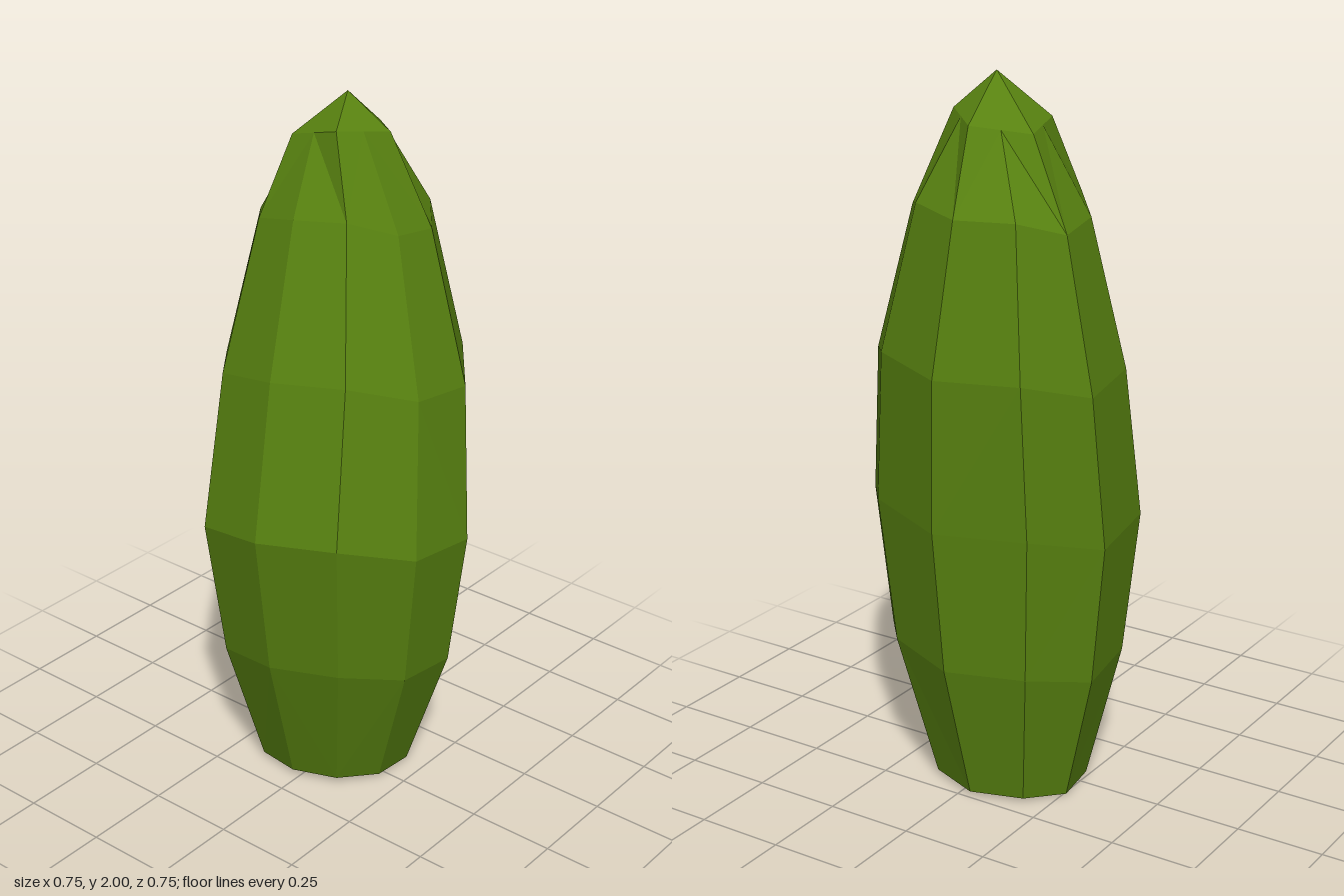
import * as THREE from 'three';

// Ten-sided irregular outline as [x, z], from the back round by the left side
const OUTLINE = [[0, -1], [0.65, -0.74], [1, -0.29], [0.97, 0.29], [0.64, 0.78],
  [0.08, 1], [-0.49, 0.9], [-0.92, 0.36], [-1, -0.3], [-0.65, -0.78]];
// How far each corner sits above or below its ring
const LIFT = [0, 0.02, -0.02, 0, 0.06, 0.05, 0.01, -0.03, -0.05, 0];

// Rings from the ground up: y, xMin, xMax, zMin, zMax, amount of lift
const RINGS = [
  [0.012, -0.26, 0.19, -0.24, 0.18, 0.15],
  [0.41, -0.345, 0.32, -0.33, 0.31, 0.7],
  [0.82, -0.38, 0.375, -0.365, 0.375, 1],
  [1.25, -0.36, 0.325, -0.378, 0.285, 1],
  [1.66, -0.28, 0.2, -0.31, 0.15, 0.8],
];
// Five corners just below the tip
const CROWN = [[-0.015, 1.88, -0.2], [0.105, 1.9, -0.09], [0.035, 1.92, 0.045],
  [-0.12, 1.88, 0.035], [-0.16, 1.86, -0.12]];

function makeRing([y, x0, x1, z0, z1, lift]) {
  return OUTLINE.map(([u, v], i) => new THREE.Vector3(
    THREE.MathUtils.lerp(x0, x1, (u + 1) / 2),
    y + LIFT[i] * lift,
    THREE.MathUtils.lerp(z0, z1, (v + 1) / 2)));
}

export function createModel() {
  const group = new THREE.Group();
  group.name = 'cypressBush';
  const leafGreen = new THREE.MeshStandardMaterial({ color: 0x588210, flatShading: true });
  leafGreen.name = 'leafGreen';

  const rings = RINGS.map(makeRing);
  // Crown corners with edge midpoints between them, to meet the ten-sided rings
  const crown = CROWN.map((p) => new THREE.Vector3(...p));
  rings.push(crown.flatMap((p, i) => [p, p.clone().lerp(crown[(i + 1) % 5], 0.5)]));

  const points = [];
  const face = (...corners) => corners.forEach((p) => points.push(p.x, p.y, p.z));

  // Faceted sides, with alternating diagonals
  for (let r = 0; r < rings.length - 1; r++) {
    for (let i = 0; i < 10; i++) {
      const j = (i + 1) % 10;
      const a = rings[r][i], b = rings[r][j], c = rings[r + 1][i], d = rings[r + 1][j];
      if ((r + i) % 2) { face(a, c, b); face(b, c, d); }
      else { face(a, c, d); face(a, d, b); }
    }
  }

  // Pointed tip and closed base
  const tip = new THREE.Vector3(0, 2, -0.045);
  crown.forEach((p, i) => face(p, tip, crown[(i + 1) % 5]));
  const base = new THREE.Vector3(-0.03, 0, -0.03);
  rings[0].forEach((p, i) => face(p, rings[0][(i + 1) % 10], base));

  const geometry = new THREE.BufferGeometry();
  geometry.setAttribute('position', new THREE.Float32BufferAttribute(points, 3));
  geometry.computeVertexNormals();
  const foliage = new THREE.Mesh(geometry, leafGreen);
  foliage.name = 'foliage';
  group.add(foliage);
  return group;
}
